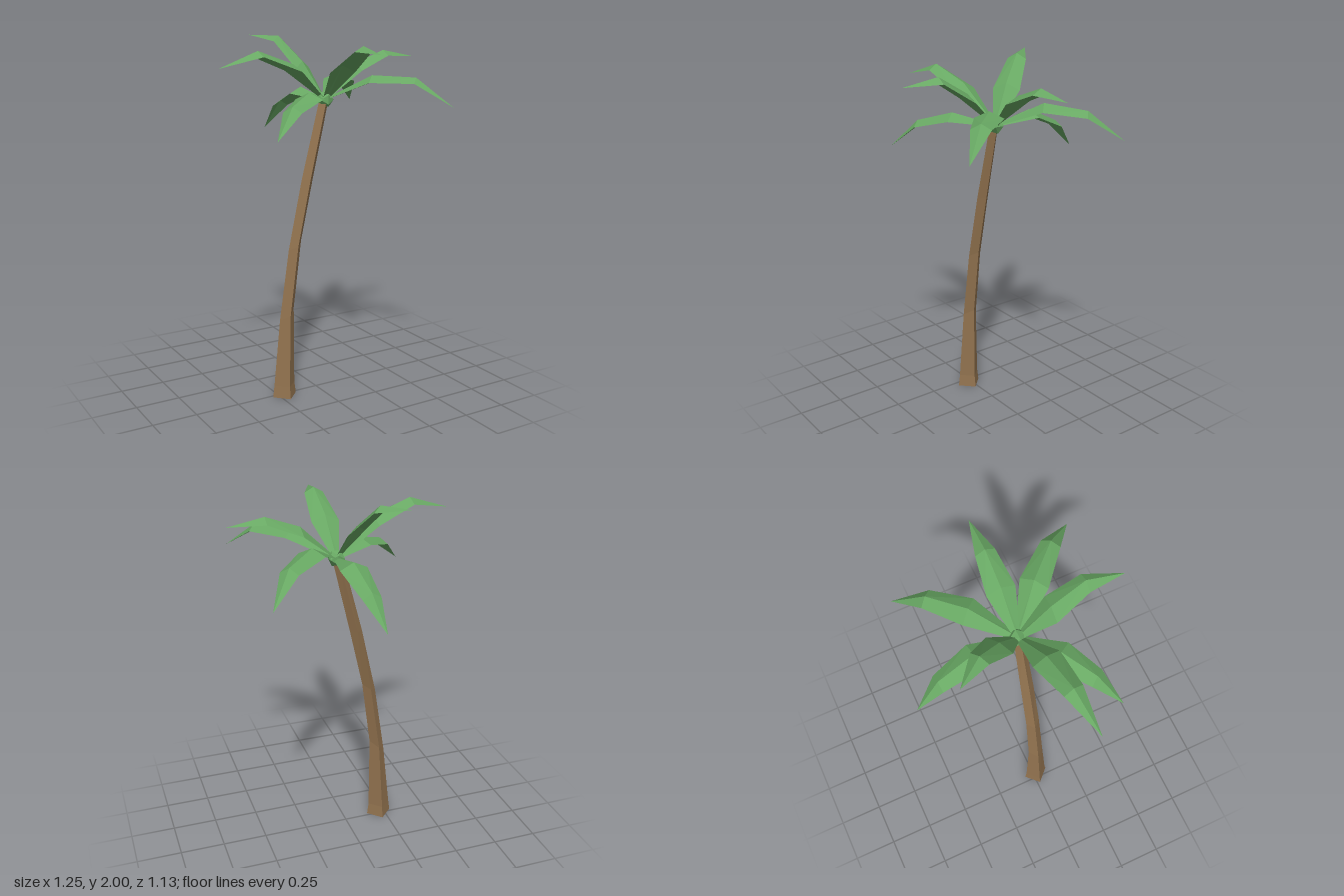
import * as THREE from 'three';

const leafGreen = new THREE.MeshStandardMaterial({ color: 0x68a863, side: THREE.DoubleSide });
leafGreen.name = 'leafGreen';
const barkBrown = new THREE.MeshStandardMaterial({ color: 0x92734f });
barkBrown.name = 'barkBrown';

const CROWN = [0.048, 1.665, 0.014];

// Split faces so each keeps its own flat normal
function faceted(geometry) {
  const flat = geometry.index ? geometry.toNonIndexed() : geometry;
  flat.computeVertexNormals();
  return flat;
}

// Four-sided trunk: rings of [x, y, radius, tilt] from top to bottom
function makeTrunk() {
  const rings = [
    [0.036, 1.64, 0.028, -0.2],
    [-0.064, 1.235, 0.036, 0.15],
    [-0.144, 0.87, 0.039, 0.6],
    [-0.198, 0.48, 0.044, 0.7],
    [-0.217, 0.07, 0.064, 0],
    [-0.217, 0, 0.073, 0],
  ];
  const geometry = new THREE.CylinderGeometry(1, 1, 1, 4, rings.length - 1);
  const p = geometry.attributes.position;
  for (let i = 0; i < p.count; i++) {
    const [x, y, r, tilt] = rings[Math.round((0.5 - p.getY(i)) * (rings.length - 1))];
    const dx = p.getX(i) * r;
    p.setXYZ(i, x + dx, y + dx * tilt, 0.017 + p.getZ(i) * r);
  }
  const trunk = new THREE.Mesh(faceted(geometry), barkBrown);
  trunk.name = 'trunk';
  return trunk;
}

// Folded leaf: a raised midrib through the given points, with lower edges on both sides
function makeFrond(points) {
  const ribs = [CROWN, ...points];
  const tip = points[2];
  const dir = new THREE.Vector2(tip[0] - CROWN[0], tip[2] - CROWN[2]).normalize();
  const halfWidths = [0.014, 0.076, 0.052, 0];
  const drops = [0.008, 0.036, 0.03, 0];
  const edge = (i, side) => [
    ribs[i][0] + dir.y * halfWidths[i] * side,
    ribs[i][1] - drops[i],
    ribs[i][2] - dir.x * halfWidths[i] * side,
  ];
  const corners = [];
  for (let i = 0; i < 3; i++) {
    const [c0, c1] = [ribs[i], ribs[i + 1]];
    const [l0, l1, r0, r1] = [edge(i, 1), edge(i + 1, 1), edge(i, -1), edge(i + 1, -1)];
    corners.push(c0, c1, l0, r0, c1, c0);
    if (i < 2) corners.push(c1, l1, l0, r0, r1, c1);
  }
  const geometry = new THREE.BufferGeometry();
  geometry.setAttribute('position', new THREE.Float32BufferAttribute(corners.flat(), 3));
  return new THREE.Mesh(faceted(geometry), leafGreen);
}

export function createModel() {
  const palm = new THREE.Group();
  palm.name = 'palmTree';
  palm.add(makeTrunk());

  // Crown knot where the leaves meet
  const knot = new THREE.Mesh(faceted(new THREE.IcosahedronGeometry(0.048, 0)), leafGreen);
  knot.name = 'crownKnot';
  knot.position.set(CROWN[0], 1.662, CROWN[2]);
  palm.add(knot);

  // Midrib points of each leaf: widest part, bend, tip
  const fronds = {
    frondLeft: [[0.24, 1.85, 0.016], [0.424, 1.918, 0.018], [0.625, 1.88, 0.02]],
    frondFrontLeft: [[0.235, 1.795, 0.19], [0.4, 1.787, 0.36], [0.53, 1.635, 0.52]],
    frondFront: [[0.05, 1.85, 0.19], [0.058, 1.957, 0.37], [0.03, 1.92, 0.565]],
    frondFrontRight: [[-0.135, 1.718, 0.162], [-0.3, 1.662, 0.278], [-0.435, 1.505, 0.369]],
    frondRight: [[-0.172, 1.858, 0.06], [-0.392, 1.932, 0.088], [-0.628, 1.85, 0.12]],
    frondBackRight: [[-0.02, 1.862, -0.11], [-0.097, 1.997, -0.24], [-0.207, 2, -0.382]],
    frondBack: [[0.035, 1.715, -0.225], [0.013, 1.622, -0.43], [-0.018, 1.453, -0.57]],
    frondBackLeft: [[0.233, 1.79, -0.163], [0.397, 1.757, -0.322], [0.522, 1.6, -0.472]],
  };
  for (const [name, points] of Object.entries(fronds)) {
    const frond = makeFrond(points);
    frond.name = name;
    palm.add(frond);
  }
  return palm;
}
